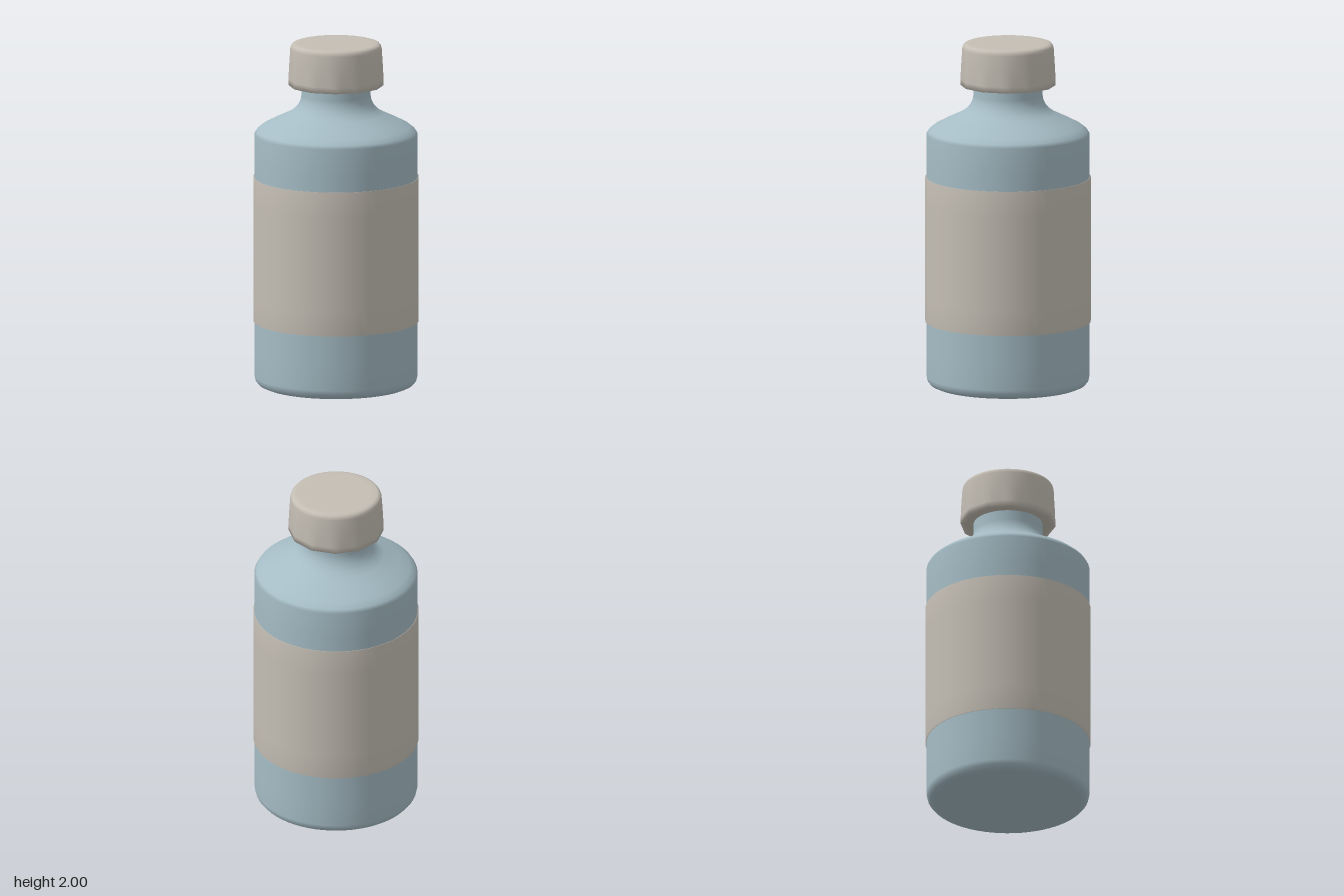
import * as THREE from 'three';
import { mergeVertices } from 'three/addons/utils/BufferGeometryUtils.js';

const blue = new THREE.MeshStandardMaterial({ color: 0xa5bcc5, side: THREE.DoubleSide });
const beige = new THREE.MeshStandardMaterial({ color: 0xc4beb4, side: THREE.DoubleSide });

// Revolve an [radius, height] profile listed from bottom to top
function lathe(name, profile, segments, material) {
  const points = profile.map(([r, y]) => new THREE.Vector2(r, y));
  const mesh = new THREE.Mesh(new THREE.LatheGeometry(points, segments), material);
  mesh.name = name;
  return mesh;
}

// Press the lower skirt of the cap into a twelve-sided outline, fading upwards
function facetSkirt(mesh, bottom, top) {
  const geometry = mesh.geometry;
  geometry.deleteAttribute('normal');
  geometry.deleteAttribute('uv');
  const pos = geometry.attributes.position;
  const step = Math.PI / 6;
  for (let i = 0; i < pos.count; i++) {
    const x = pos.getX(i), y = pos.getY(i), z = pos.getZ(i);
    if (Math.hypot(x, z) < 0.23) continue;
    const angle = Math.atan2(x, z) + 2 * Math.PI;
    const offset = (angle % step) - step / 2;
    const polygon = Math.cos(step / 2) / Math.cos(offset);
    const fade = THREE.MathUtils.clamp((top - y) / (top - bottom), 0, 1);
    const k = 1 + (polygon - 1) * fade;
    pos.setXYZ(i, x * k, y, z * k);
  }
  mesh.geometry = mergeVertices(geometry, 1e-4);
  mesh.geometry.computeVertexNormals();
}

export function createModel() {
  const bottle = new THREE.Group();
  bottle.name = 'bottle';

  // Body with rounded base, sloping shoulder and straight neck
  bottle.add(lathe('body', [
    [0, 0], [0.39, 0], [0.42, 0.004], [0.445, 0.015], [0.461, 0.034], [0.467, 0.06],
    [0.467, 0.2], [0.467, 1.3], [0.467, 1.47], [0.455, 1.49], [0.425, 1.514],
    [0.36, 1.548], [0.275, 1.588], [0.24, 1.613], [0.217, 1.64], [0.203, 1.67],
    [0.198, 1.7], [0.198, 1.8],
  ], 64, blue));

  // Wrap-around label, soft shading towards both edges
  bottle.add(lathe('label', [
    [0.462, 0.38], [0.474, 0.38], [0.474, 0.53], [0.474, 1.07], [0.474, 1.22], [0.462, 1.22],
  ], 64, beige));

  // Screw cap with underside rim, flared skirt and rounded top edge
  const cap = lathe('cap', [
    [0.19, 1.757], [0.245, 1.757], [0.273, 1.755], [0.272, 1.79], [0.27, 1.85], [0.266, 1.91],
    [0.262, 1.97], [0.258, 1.985], [0.25, 1.995], [0.235, 2], [0.2, 2], [0, 2],
  ], 48, beige);
  facetSkirt(cap, 1.755, 1.95);
  bottle.add(cap);

  return bottle;
}
